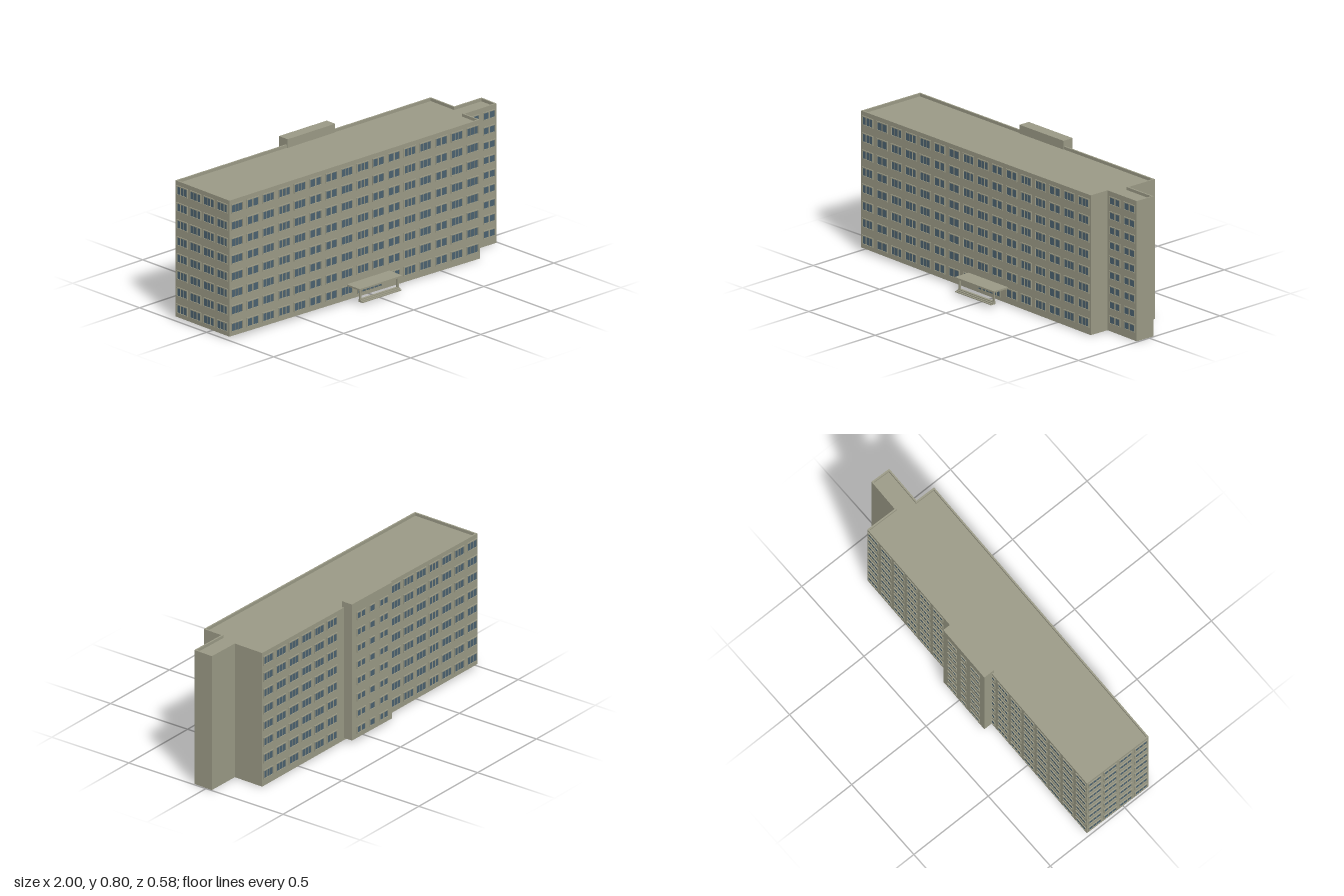
import * as THREE from 'three';
import { mergeGeometries } from 'three/addons/utils/BufferGeometryUtils.js';

const wallMat = new THREE.MeshStandardMaterial({ color: 0x9b9a86 });
wallMat.name = 'stone wall';
const glassMat = new THREE.MeshStandardMaterial({ color: 0x4b6270 });
glassMat.name = 'window glass';

// Footprint corners as [x, z]
const outline = [
  [-0.995, 0.165], [0.765, 0.193], [0.768, 0.077], [0.992, 0.081],
  [0.996, -0.035], [0.805, -0.039], [0.809, -0.219], [-0.988, -0.245],
];
const ROOF = 0.752, TOP = 0.768;
const FLOORS = 8, FIRST = 0.066, STOREY = 0.0932;

function box(w, h, d, x, y, z) {
  return new THREE.BoxGeometry(w, h, d).translate(x, y, z);
}

function named(geometry, material, name) {
  const mesh = new THREE.Mesh(geometry, material);
  mesh.name = name;
  return mesh;
}

// Extrude a footprint upwards
function extrudeUp(shape, y0, y1) {
  return new THREE.ExtrudeGeometry(shape, { depth: y1 - y0, bevelEnabled: false })
    .rotateX(-Math.PI / 2).translate(0, y0, 0);
}

const toPoints = (list) => list.map(([x, z]) => new THREE.Vector2(x, -z));

// Surround, mullions and panes of one window on a wall lying at z = 0
function addWindow(frames, panes, x, y, w, h, count) {
  const rim = 0.005, proud = 0.005, bar = count === 2 ? 0.008 : 0.003;
  for (const s of [-1, 1]) {
    frames.push(box(w + 2 * rim, rim, proud, x, y + s * (h + rim) / 2, proud / 2));
    frames.push(box(rim, h, proud, x + s * (w + rim) / 2, y, proud / 2));
  }
  for (let i = 1; i < count; i++) {
    frames.push(box(bar, h, 0.003, x - w / 2 + (w * i) / count, y, 0.0015));
  }
  panes.push(new THREE.PlaneGeometry(w, h).translate(x, y, 0.001));
}

// Windows on the wall running from a to b, with the outside on its +z side.
// Each column is { x, w, panes }, x measured along the wall from a.
function facade(name, a, b, columns, opts = {}) {
  const { floors = FLOORS, storey = STOREY, h = 0.042, skip = () => false } = opts;
  const frames = [], panes = [];
  columns.forEach((c, i) => {
    for (let f = 0; f < floors; f++) {
      if (!skip(i, f)) addWindow(frames, panes, c.x, FIRST + storey * f, c.w, h, c.panes);
    }
  });
  const g = new THREE.Group();
  g.name = name;
  g.add(named(mergeGeometries(frames), wallMat, name + 'Frames'));
  g.add(named(mergeGeometries(panes), glassMat, name + 'Glass'));
  g.position.set(a[0], 0, a[1]);
  g.rotation.y = Math.atan2(a[1] - b[1], b[0] - a[0]);
  return g;
}

function row(count, first, pitch, w, panes) {
  return Array.from({ length: count }, (_, i) => ({ x: first + i * pitch, w, panes: panes(i) }));
}

export function createModel() {
  const model = new THREE.Group();
  model.name = 'apartmentBlock';

  // Main block with the base following a slight slope
  const body = extrudeUp(new THREE.Shape(toPoints(outline)), 0, ROOF);
  const pos = body.attributes.position;
  for (let i = 0; i < pos.count; i++) {
    if (pos.getY(i) < 0.01) pos.setY(i, 0.0095 * (1 - pos.getX(i)));
  }
  body.computeVertexNormals();
  model.add(named(body, wallMat, 'mainBlock'));

  // Parapet around the flat roof
  const rim = new THREE.Shape(toPoints(outline));
  const inset = outline.map(([x, z]) => [x - Math.sign(x) * 0.009, z - Math.sign(z) * 0.009]);
  rim.holes.push(new THREE.Path(toPoints(inset)));
  model.add(named(extrudeUp(rim, ROOF, TOP), wallMat, 'parapet'));

  // Front: sixteen columns, entrance in place of two ground floor windows
  const paired = [1, 5, 6, 9, 10, 13];
  model.add(facade('frontWindows', outline[0], outline[1],
    row(16, 0.052, 0.1104, 0.074, (i) => (paired.includes(i) ? 2 : 3)),
    { skip: (i, f) => f === 0 && (i === 8 || i === 9) }));

  // Narrow side wing with lower storeys
  model.add(facade('wingWindows', outline[2], outline[3],
    row(2, 0.058, 0.112, 0.074, () => 2), { floors: 9, storey: 0.0815, h: 0.036 }));

  // Back, leaving out the columns covered by the stair tower
  model.add(facade('backWindows', outline[6], outline[7],
    row(17, 0.05, 0.1063, 0.074, () => 3), { skip: (i) => i >= 6 && i <= 8 }));

  // Windowed end wall
  model.add(facade('endWindows', outline[7], outline[0],
    row(4, 0.052, 0.102, 0.074, () => 3)));

  // Stair tower on the back
  const towerFoot = [[-0.212, -0.22], [0.124, -0.216], [0.125, -0.28], [-0.211, -0.285]];
  model.add(named(extrudeUp(new THREE.Shape(toPoints(towerFoot)), 0.02, 0.8), wallMat, 'stairTower'));
  model.add(facade('towerWindows', towerFoot[2], towerFoot[3], [
    { x: 0.075, w: 0.064, panes: 2 },
    { x: 0.168, w: 0.036, panes: 1 },
    { x: 0.262, w: 0.064, panes: 2 },
  ], { h: 0.034 }));

  // Entrance: doors, canopy, posts and steps, aligned with the front wall
  const entrance = new THREE.Group();
  entrance.name = 'entrance';
  entrance.position.set(-0.02, 0, 0.1805);
  entrance.rotation.y = -0.0159;
  entrance.add(named(new THREE.PlaneGeometry(0.17, 0.056).translate(0.01, 0.059, 0.002), glassMat, 'doorGlass'));
  const bars = [];
  for (let i = 0; i <= 6; i++) bars.push(box(0.005, 0.06, 0.005, -0.075 + i * 0.0283, 0.058, 0.0025));
  bars.push(box(0.175, 0.005, 0.005, 0.01, 0.088, 0.0025));
  entrance.add(named(mergeGeometries(bars), wallMat, 'doorFrames'));
  entrance.add(named(box(0.3, 0.009, 0.102, 0, 0.0935, 0.047), wallMat, 'canopy'));
  for (const x of [-0.131, 0.131]) {
    entrance.add(named(box(0.01, 0.07, 0.01, x, 0.055, 0.081), wallMat, 'canopyPost'));
  }
  for (let i = 0; i < 3; i++) {
    const depth = 0.031 - i * 0.009;
    entrance.add(named(box(0.275, 0.005, depth, 0, 0.0225 + i * 0.005, 0.075 + depth / 2), wallMat, 'step'));
  }
  model.add(entrance);

  return model;
}
